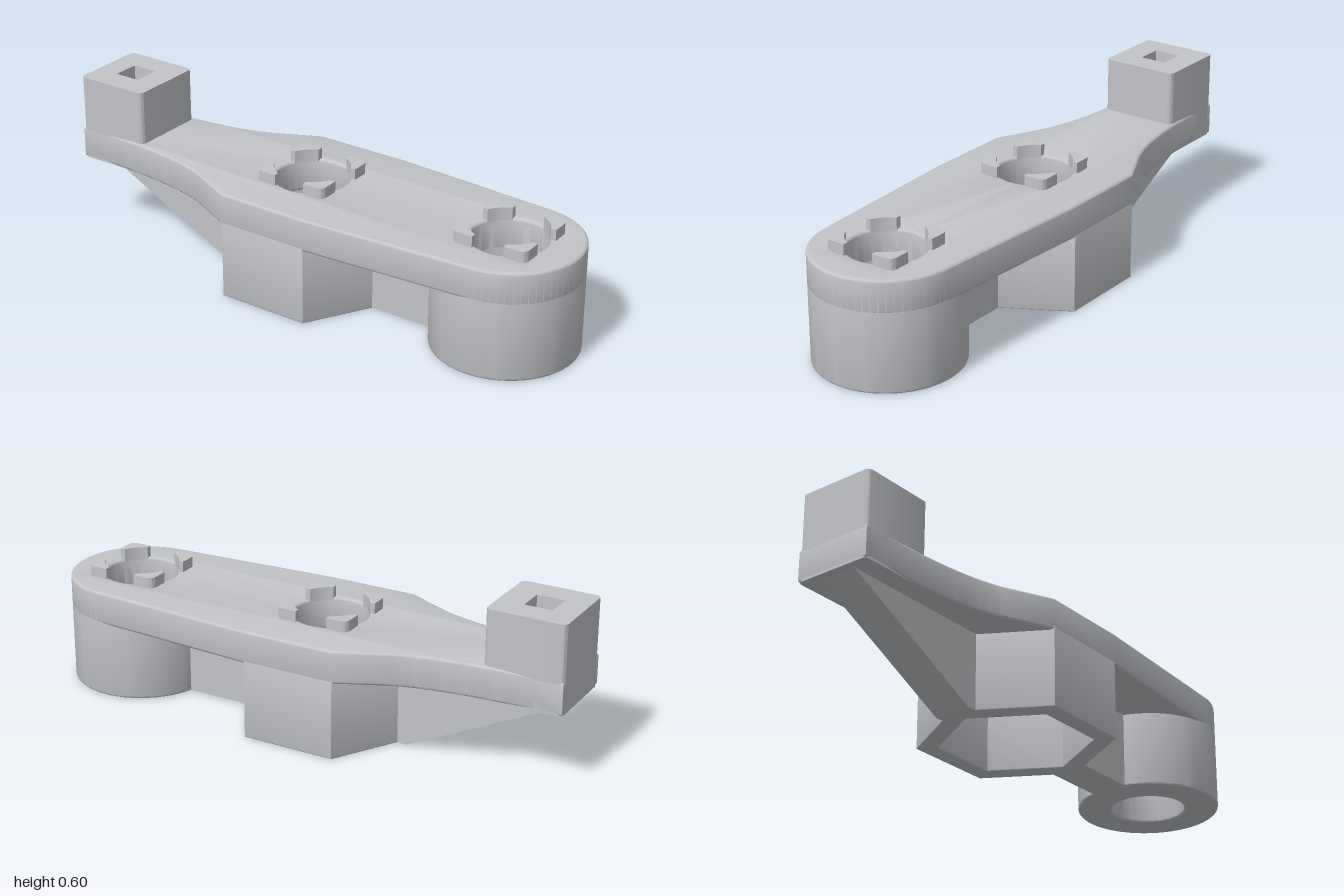
import * as THREE from 'three';
import { toCreasedNormals } from 'three/addons/utils/BufferGeometryUtils.js';

const HEX_X = -0.06, BOSS_X = 0.74, HOLE_R = 0.135, RIB_HALF = 0.07;

export function createModel() {
  const group = new THREE.Group();
  const grey = new THREE.MeshStandardMaterial({ color: 0xc2c4c8 });
  grey.name = 'light grey';

  // Extrude a plan outline upwards from y0 to y1
  function upright(name, shape, y0, y1, bevel = 0) {
    const raw = new THREE.ExtrudeGeometry(shape, {
      depth: y1 - y0 - 2 * bevel, curveSegments: 32, bevelEnabled: bevel > 0,
      bevelThickness: bevel, bevelSize: bevel, bevelOffset: -bevel, bevelSegments: 3,
    });
    raw.translate(0, 0, bevel).rotateX(-Math.PI / 2).translate(0, y0, 0);
    const mesh = new THREE.Mesh(toCreasedNormals(raw, 0.6), grey);
    mesh.name = name;
    group.add(mesh);
    return mesh;
  }

  function circle(x, r, type = THREE.Path) {
    return new type().absarc(x, 0, r, 0, Math.PI * 2, false);
  }

  function hexagon(x, r) {
    return Array.from({ length: 6 }, (_, i) =>
      new THREE.Vector2(x + r * Math.cos(i * Math.PI / 3), r * Math.sin(i * Math.PI / 3)));
  }

  function roundedRect(x0, x1, half, r) {
    const s = new THREE.Shape();
    s.absarc(x1 - r, half - r, r, 0, Math.PI / 2, false);
    s.absarc(x0 + r, half - r, r, Math.PI / 2, Math.PI, false);
    s.absarc(x0 + r, -half + r, r, Math.PI, Math.PI * 1.5, false);
    s.absarc(x1 - r, -half + r, r, Math.PI * 1.5, Math.PI * 2, false);
    s.closePath();
    return s;
  }

  // Top plate: narrow arm, wide middle, round end
  const plate = new THREE.Shape();
  plate.moveTo(-1, -0.145);
  plate.lineTo(-0.9, -0.145);
  plate.quadraticCurveTo(-0.55, -0.155, -0.4, -0.22);
  plate.lineTo(-0.23, -0.3);
  plate.lineTo(0.12, -0.3);
  plate.absarc(BOSS_X, 0, 0.26, -1.508, 1.508, false);
  plate.lineTo(0.12, 0.3);
  plate.lineTo(-0.23, 0.3);
  plate.lineTo(-0.4, 0.22);
  plate.quadraticCurveTo(-0.55, 0.155, -0.9, 0.145);
  plate.lineTo(-1, 0.145);
  plate.closePath();
  plate.holes.push(circle(HEX_X, HOLE_R), circle(BOSS_X, HOLE_R));
  upright('topPlate', plate, 0.28, 0.4, 0.01);

  // Hexagonal boss with an open hexagonal pocket
  const hex = new THREE.Shape(hexagon(HEX_X, 0.346));
  hex.holes.push(new THREE.Path(hexagon(HEX_X, 0.27)));
  upright('hexBoss', hex, 0, 0.3, 0.004);

  // Round boss with a through hole
  const boss = circle(BOSS_X, 0.26, THREE.Shape);
  boss.holes.push(circle(BOSS_X, HOLE_R));
  upright('roundBoss', boss, 0, 0.385, 0.008);

  // Web joining the two bosses
  const web = new THREE.Mesh(new THREE.BoxGeometry(0.295, 0.3, RIB_HALF * 2), grey);
  web.position.set(0.3675, 0.152, 0);
  web.name = 'bossWeb';
  group.add(web);

  // Sloping rib below the arm
  const rib = new THREE.Shape([
    [-0.97, 0.28], [-0.4, 0], [-0.34, 0], [-0.34, 0.3], [-0.97, 0.3],
  ].map(([x, y]) => new THREE.Vector2(x, y)));
  const ribMesh = new THREE.Mesh(
    new THREE.ExtrudeGeometry(rib, { depth: RIB_HALF * 2, bevelEnabled: false }), grey);
  ribMesh.position.z = -RIB_HALF;
  ribMesh.name = 'armRib';
  group.add(ribMesh);

  // Square post with a square socket
  const post = roundedRect(-1, -0.715, 0.145, 0.018);
  post.holes.push(new THREE.Path([
    [-0.91, -0.05], [-0.91, 0.05], [-0.81, 0.05], [-0.81, -0.05],
  ].map(([x, y]) => new THREE.Vector2(x, y))));
  upright('endPost', post, 0.28, 0.6);

  // Four corner lugs around each hole
  const a = 0.06, b = 0.14, r = 0.025;
  const angle = Math.asin(a / HOLE_R);
  const lug = new THREE.Shape();
  lug.moveTo(HOLE_R * Math.cos(angle), a);
  lug.lineTo(b, a);
  lug.lineTo(b, b - r);
  lug.absarc(b - r, b - r, r, 0, Math.PI / 2, false);
  lug.lineTo(a, b);
  lug.absarc(0, 0, HOLE_R, Math.PI / 2 - angle, angle, true);
  for (const x of [HEX_X, BOSS_X]) {
    for (let i = 0; i < 4; i++) {
      const mesh = upright('cornerLug', lug, 0.39, 0.44);
      mesh.position.x = x;
      mesh.rotation.y = i * Math.PI / 2;
    }
  }
  return group;
}
